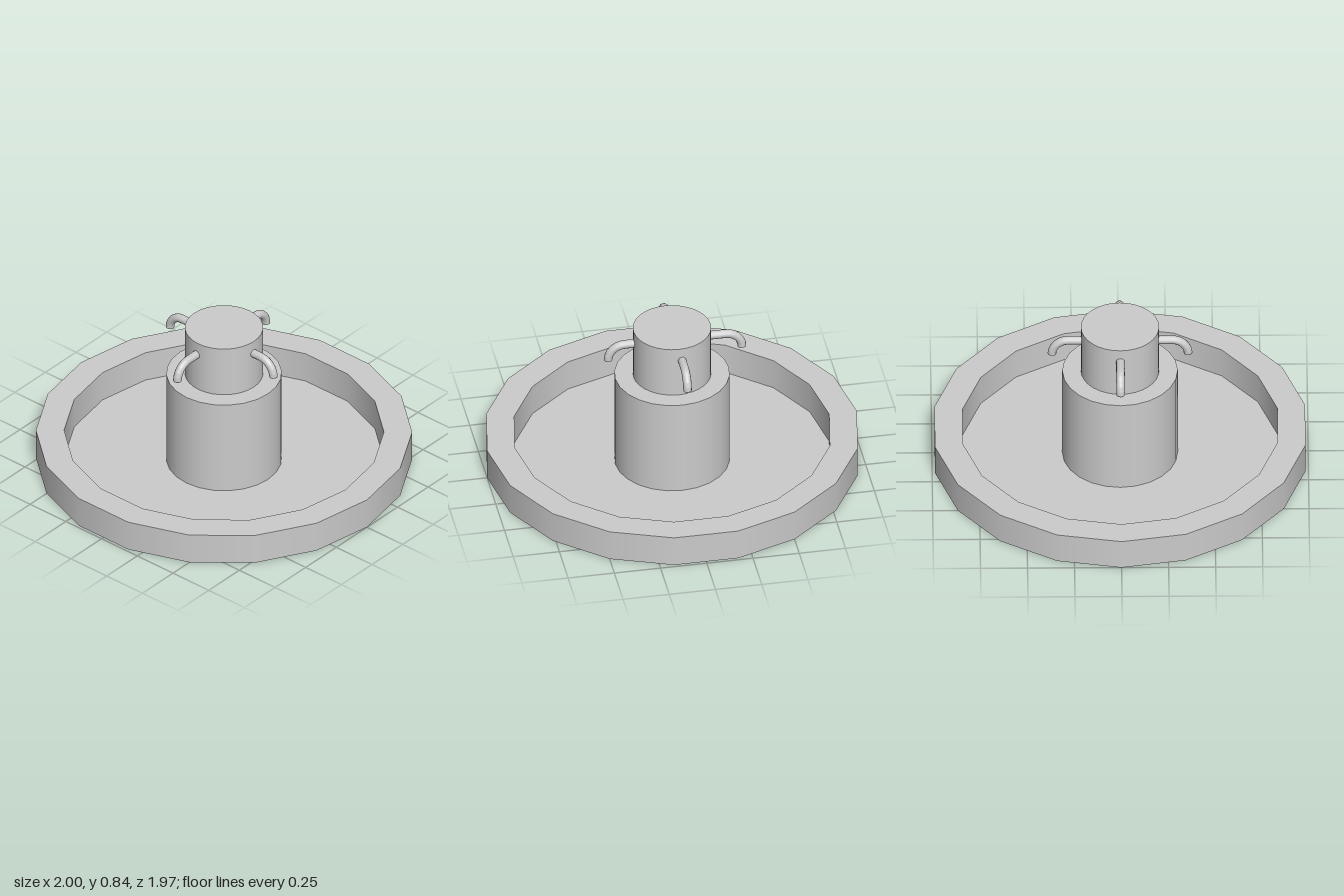
import * as THREE from 'three';

const grey = new THREE.MeshStandardMaterial({ color: 0xcccccc, side: THREE.DoubleSide });

function addMesh(parent, name, geometry) {
  const mesh = new THREE.Mesh(geometry, grey);
  mesh.name = name;
  parent.add(mesh);
  return mesh;
}

// Cylinder standing on the given height
function addDrum(parent, name, radius, bottom, top, sides) {
  const geometry = new THREE.CylinderGeometry(radius, radius, top - bottom, sides);
  addMesh(parent, name, geometry).position.y = (bottom + top) / 2;
}

// One spout: straight pipe out of the column, then a downward bend
function createSpout() {
  const spout = new THREE.Group();
  spout.name = 'spout';
  const pipeRadius = 0.023, height = 0.767, bend = 0.087, reach = 0.275;
  const points = [new THREE.Vector3(0.17, height, 0)];
  const steps = 6;
  for (let i = 0; i <= steps; i++) {
    const a = (i / steps) * Math.PI / 2;
    points.push(new THREE.Vector3(reach + bend * Math.sin(a), height - bend * (1 - Math.cos(a)), 0));
  }
  const path = new THREE.CurvePath();
  for (let i = 1; i < points.length; i++) path.add(new THREE.LineCurve3(points[i - 1], points[i]));
  addMesh(spout, 'spoutPipe', new THREE.TubeGeometry(path, 40, pipeRadius, 12, false));
  const tip = addMesh(spout, 'spoutTip', new THREE.CircleGeometry(pipeRadius, 12));
  tip.rotation.x = Math.PI / 2;
  tip.position.copy(points[points.length - 1]);
  return spout;
}

export function createModel() {
  const model = new THREE.Group();
  model.name = 'fountain';

  // Eighteen-sided basin, its hollow rim open underneath
  const sides = 18, outer = 1, inner = 0.85, rimTop = 0.175;
  const basin = new THREE.Group();
  basin.name = 'basin';
  basin.rotation.y = Math.PI / 2;
  model.add(basin);
  const wall = (radius) => new THREE.CylinderGeometry(radius, radius, rimTop, sides, 1, true);
  addMesh(basin, 'basinOuterWall', wall(outer)).position.y = rimTop / 2;
  addMesh(basin, 'basinInnerWall', wall(inner)).position.y = rimTop / 2;

  const rim = addMesh(basin, 'basinRim', new THREE.RingGeometry(inner, outer, sides, 1, Math.PI / 2));
  rim.rotation.x = -Math.PI / 2;
  rim.position.y = rimTop;
  const floor = addMesh(basin, 'basinFloor', new THREE.CircleGeometry(inner, sides, Math.PI / 2));
  floor.rotation.x = -Math.PI / 2;

  // Stepped column
  addDrum(model, 'pedestal', 0.307, 0, 0.55, 24);
  addDrum(model, 'upperColumn', 0.208, 0.55, 0.843, 32);

  // Four spouts around the column
  const spouts = new THREE.Group();
  spouts.name = 'spouts';
  spouts.position.x = -0.016;
  for (let i = 0; i < 4; i++) {
    const spout = createSpout();
    spout.rotation.y = i * Math.PI / 2;
    spouts.add(spout);
  }
  model.add(spouts);
  return model;
}
